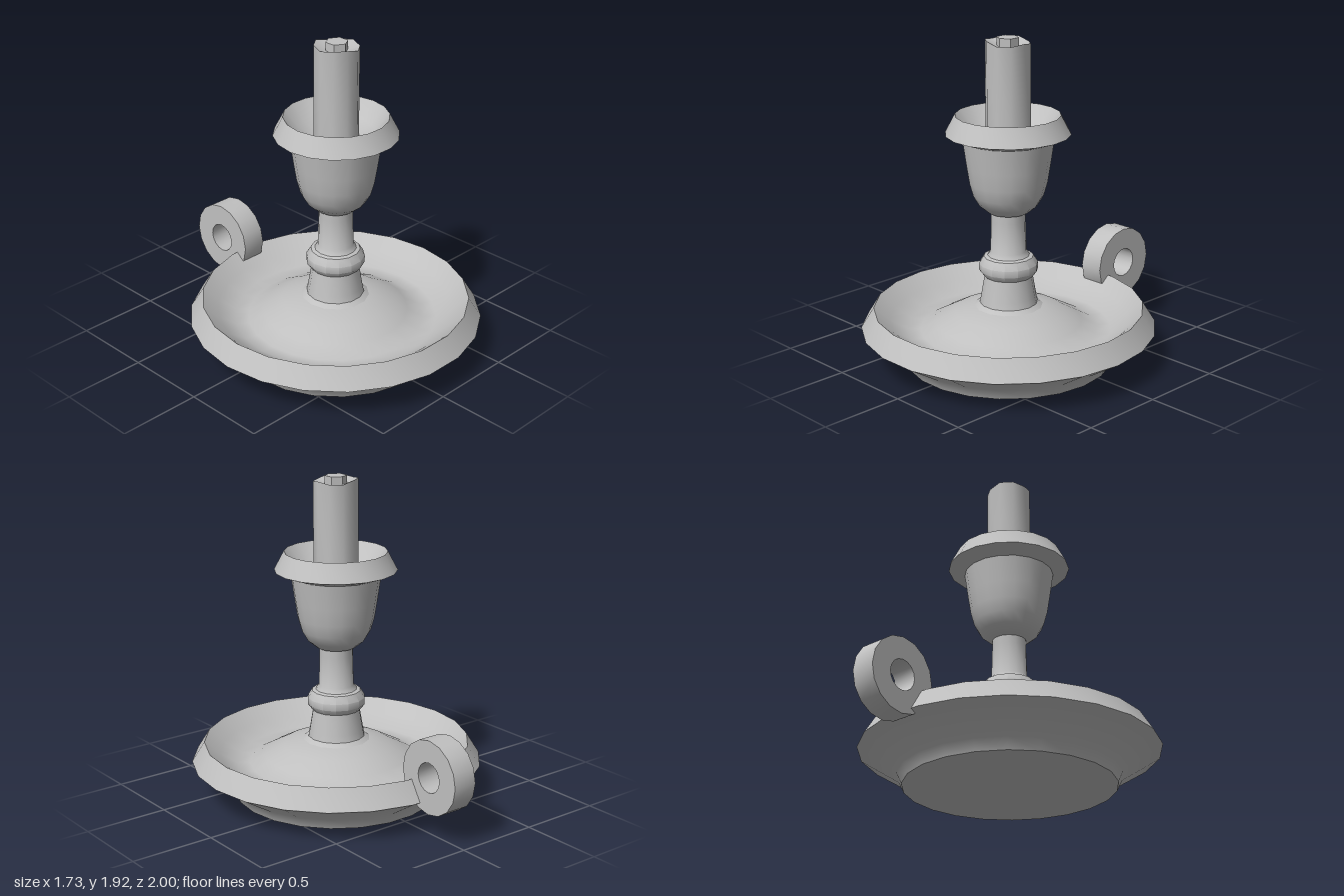
import * as THREE from 'three';
import { toCreasedNormals } from 'three/addons/utils/BufferGeometryUtils.js';

const CENTER_Z = 0.142;

export function createModel() {
  const model = new THREE.Group();
  model.name = 'candlestick';
  const grey = new THREE.MeshStandardMaterial({ color: 0xc0c0c0 });
  grey.name = 'plain grey';

  const add = (name, geometry) => {
    const mesh = new THREE.Mesh(toCreasedNormals(geometry, 0.7), grey);
    mesh.name = name;
    model.add(mesh);
    return mesh;
  };
  // Revolved profile of [radius, height] pairs, with a vertex on the x axis
  const turned = (profile, sides, start = Math.PI / 2) =>
    new THREE.LatheGeometry(profile.map(([r, y]) => new THREE.Vector2(r, y)), sides, start);
  const addTurned = (name, profile, sides) => {
    const mesh = add(name, turned(profile, sides));
    mesh.position.z = CENTER_Z;
    return mesh;
  };

  // Drip dish: foot, flared underside, slanted rim, trough and central dome
  addTurned('dish', [
    [0, 0], [0.61, 0], [0.64, 0.065], [0.865, 0.205], [0.79, 0.325],
    [0.7, 0.25], [0.6, 0.19], [0.52, 0.185], [0.43, 0.235], [0.32, 0.295], [0.2, 0.33], [0, 0.34],
  ], 22);

  // Conical foot of the stem, rounded knob and neck
  addTurned('stemFoot', [[0.215, 0.32], [0.17, 0.35], [0.162, 0.39], [0.138, 0.53]], 14);
  addTurned('stemKnob', [
    [0.1, 0.515], [0.145, 0.515], [0.172, 0.55], [0.172, 0.59], [0.145, 0.632], [0.1, 0.645],
  ], 14);
  addTurned('stemNeck', [[0.125, 0.635], [0.105, 0.665], [0.1, 0.85], [0.1, 0.93]], 14);

  // Cup holding the candle
  addTurned('cup', [
    [0.06, 0.885], [0.115, 0.9], [0.17, 0.945], [0.205, 1.005], [0.226, 1.08], [0.242, 1.18], [0.266, 1.345],
  ], 18);

  // Flared collar with a hollow top
  addTurned('collar', [
    [0.2, 1.315], [0.265, 1.33], [0.36, 1.365], [0.302, 1.475], [0.22, 1.38], [0.12, 1.335], [0, 1.335],
  ], 18);

  // Candle with a melted, uneven lip
  const candle = turned([[0.13, 1.32], [0.13, 1.893], [0.055, 1.865], [0, 1.86]], 10);
  const pos = candle.attributes.position;
  for (let i = 0; i < pos.count; i++) {
    if (pos.getY(i) < 1.88) continue;
    const x = pos.getX(i), z = pos.getZ(i);
    pos.setY(i, pos.getY(i) - 0.06 * x + 0.009 * Math.cos(3 * Math.atan2(z, x)));
  }
  add('candle', candle).position.z = CENTER_Z;

  // Hexagonal wick
  const wick = add('wick', new THREE.CylinderGeometry(0.065, 0.065, 0.09, 6));
  wick.position.set(0, 1.872, CENTER_Z);

  // Ring handle standing on the back rim
  const w = 0.074;
  const handle = add('ringHandle', turned(
    [[0.088, -w], [0.218, -w], [0.218, w], [0.088, w], [0.088, -w]], 16, 0));
  handle.rotation.z = Math.PI / 2;
  handle.position.set(0, 0.375, -0.782);

  return model;
}
